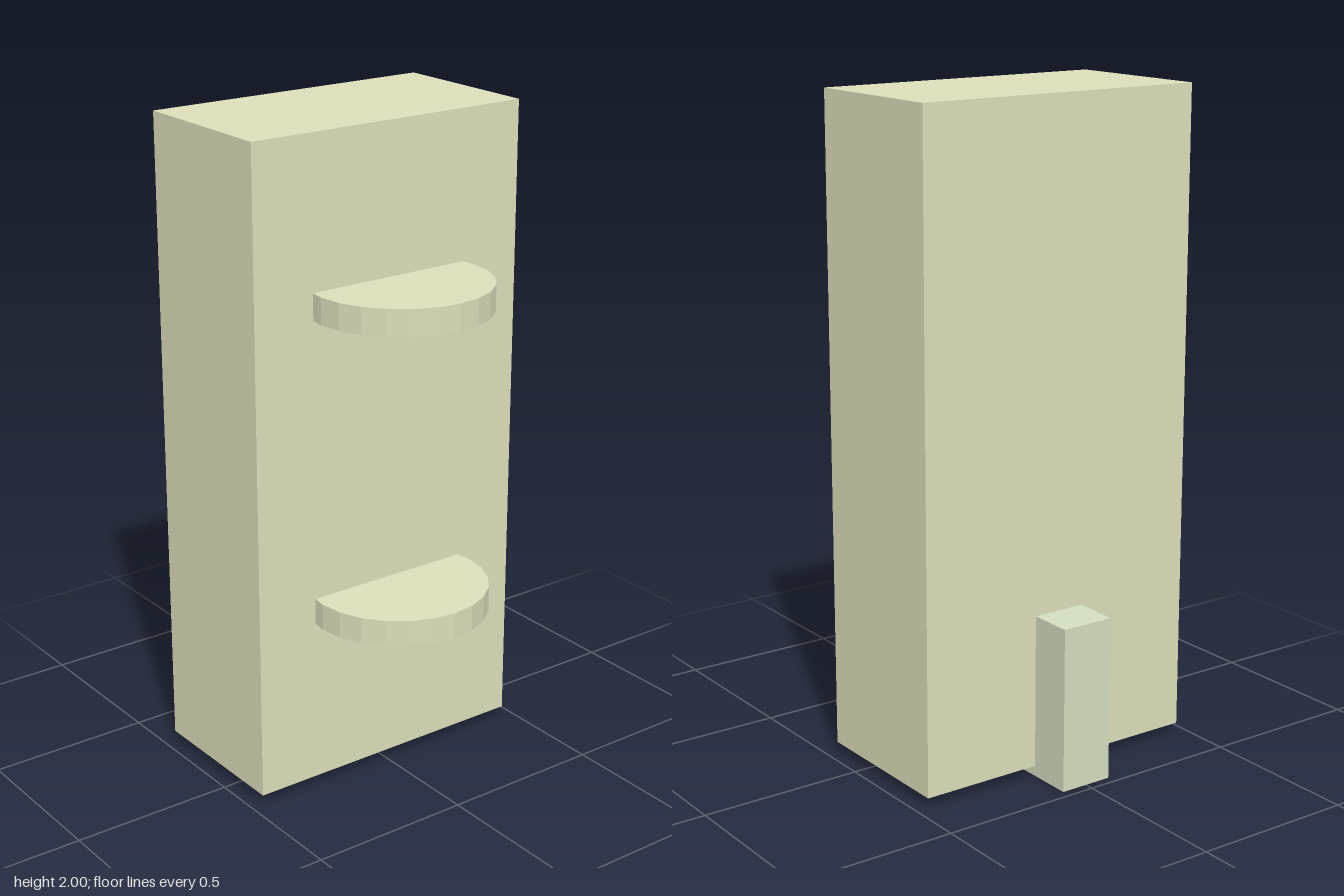
import * as THREE from 'three';

export function createModel() {
  const model = new THREE.Group();
  const cream = new THREE.MeshStandardMaterial({ color: 0xdcdeba, flatShading: true });
  const paleGreen = new THREE.MeshStandardMaterial({ color: 0xd3dec0, flatShading: true });

  const add = (name, geometry, material, x, y, z) => {
    const mesh = new THREE.Mesh(geometry, material);
    mesh.name = name;
    mesh.position.set(x, y, z);
    model.add(mesh);
  };

  // Tall slab
  add('body', new THREE.BoxGeometry(0.928, 1.968, 0.49), cream, 0, 1.016, -0.09);

  // Round shelves, set partly into the front of the slab
  const disc = new THREE.CylinderGeometry(0.273, 0.273, 0.08, 24);
  add('lowerShelf', disc, cream, 0, 0.58, 0.199);
  add('upperShelf', disc, cream, 0, 1.51, 0.199);

  // Support block at the back, running under the slab
  add('rearSupport', new THREE.BoxGeometry(0.167, 0.5, 0.33), paleGreen, 0, 0.25, -0.307);

  return model;
}
